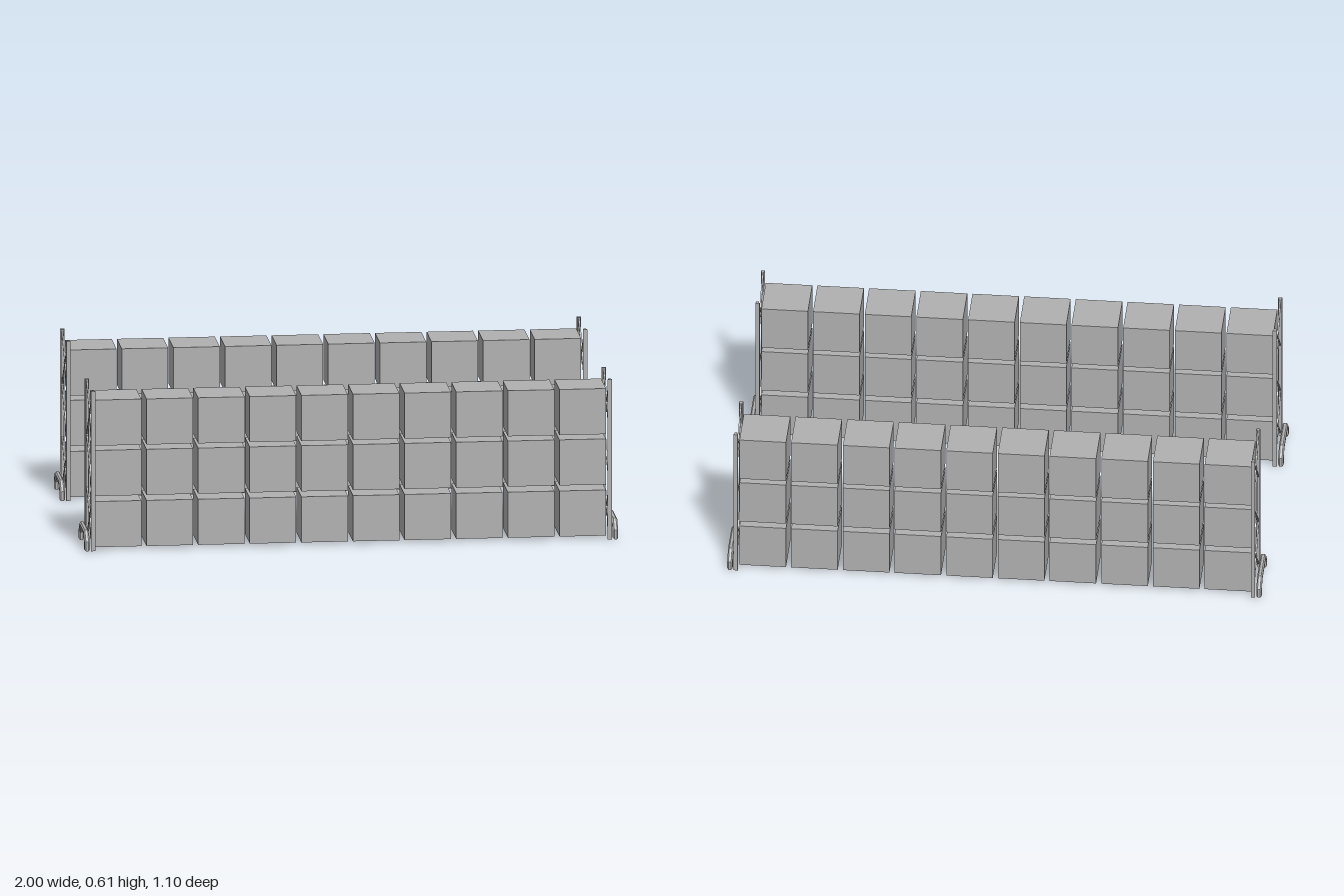
import * as THREE from 'three';

export function createModel() {
  const model = new THREE.Group();
  model.name = 'storageRacks';
  const grey = new THREE.MeshStandardMaterial({ color: 0xb0b0b0 });
  grey.name = 'grey';

  const add = (parent, geometry, name, x = 0, y = 0, z = 0) => {
    const mesh = new THREE.Mesh(geometry, grey);
    mesh.name = name;
    mesh.position.set(x, y, z);
    parent.add(mesh);
    return mesh;
  };

  const crateGeo = new THREE.BoxGeometry(0.174, 0.174, 0.174);

  // Upright with a wide outer flange and a narrower stem, outer side towards +z
  const postShape = new THREE.Shape([
    [-0.008, -0.008], [0.008, -0.008], [0.008, -0.002], [0.005, -0.002],
    [0.005, 0.008], [-0.005, 0.008], [-0.005, -0.002], [-0.008, -0.002],
  ].map(([x, y]) => new THREE.Vector2(x, y)));
  const postGeo = new THREE.ExtrudeGeometry(postShape, { depth: 0.61, bevelEnabled: false });
  postGeo.rotateX(-Math.PI / 2);

  // Diagonal strut in the end frame between two (z, y) points
  function brace(parent, z0, y0, z1, y1) {
    const strut = add(parent, new THREE.BoxGeometry(0.006, 0.008, Math.hypot(z1 - z0, y1 - y0)),
      'diagonalBrace', 0, (y0 + y1) / 2, (z0 + z1) / 2);
    strut.rotation.x = -Math.atan2(y1 - y0, z1 - z0);
  }

  // Bent guard bar: a band swept through the z-y plane
  const guardShape = new THREE.Shape([
    [-0.11, 0], [-0.11, 0.036], [-0.073, 0.073], [0.073, 0.073], [0.11, 0.036], [0.11, 0],
    [0.09, 0], [0.09, 0.029], [0.066, 0.053], [-0.066, 0.053], [-0.09, 0.029], [-0.09, 0],
  ].map(([z, y]) => new THREE.Vector2(z, y)));
  const guardGeo = new THREE.ExtrudeGeometry(guardShape, {
    depth: 0.01, bevelThickness: 0.005, bevelSize: 0.005, bevelOffset: -0.005, bevelSegments: 1,
  });
  guardGeo.translate(0, 0, -0.005).rotateY(-Math.PI / 2);

  for (const rackZ of [0.437, -0.437]) {
    const rack = new THREE.Group();
    rack.name = rackZ > 0 ? 'frontRack' : 'backRack';
    rack.position.z = rackZ;
    model.add(rack);

    // Three rows of ten crates
    for (const y of [0.097, 0.292, 0.484])
      for (let i = 0; i < 10; i++)
        add(rack, crateGeo, 'crate', -0.872 + i * 0.1934, y, 0);

    // Braced end frames with floor guards
    for (const side of [-1, 1]) {
      const frame = new THREE.Group();
      frame.name = side > 0 ? 'leftEndFrame' : 'rightEndFrame';
      frame.position.x = side * 0.968;
      rack.add(frame);
      add(frame, postGeo, 'upright', 0, 0, 0.103);
      add(frame, postGeo, 'upright', 0, 0, -0.103).rotation.y = Math.PI;

      const h = 0.1;
      brace(frame, h, 0.012, -h, 0.2);
      brace(frame, -h, 0.012, h, 0.2);
      brace(frame, h, 0.204, -h, 0.395);
      brace(frame, h, 0.405, -h, 0.6);
      brace(frame, -h, 0.405, h, 0.6);

      add(rack, guardGeo, 'floorGuard', side * 0.99, 0, 0);
    }
  }
  return model;
}
